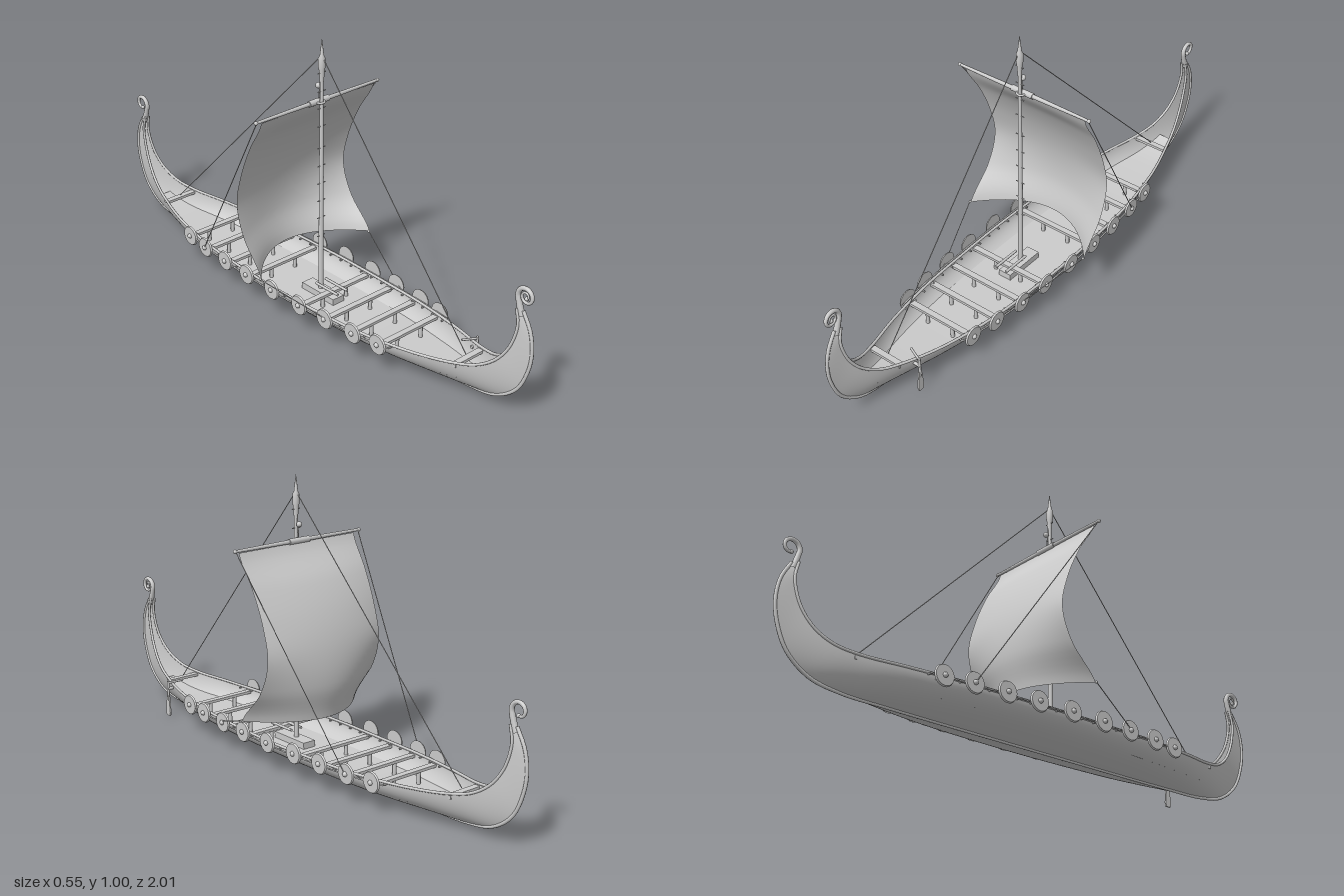
import * as THREE from 'three';

const V = (x, y, z) => new THREE.Vector3(x, y, z);
const lerp = THREE.MathUtils.lerp;
const material = new THREE.MeshStandardMaterial({ color: 0xcccccc });
const thin = new THREE.MeshStandardMaterial({ color: 0xcccccc, side: THREE.DoubleSide });

// Half-hull stations: keel z, keel y, gunwale z, gunwale y, half width
const STATIONS = [
  [0, .02, 0, .105, .158], [.2, .02, .2, .106, .153], [.4, .02, .4, .11, .14],
  [.6, .021, .6, .118, .107], [.76, .024, .74, .13, .068], [.87, .045, .82, .15, .045],
  [.95, .105, .88, .19, .028], [.99, .19, .92, .245, .017], [1, .26, .94, .3, .012],
  [.988, .33, .946, .345, .01], [.955, .39, .935, .395, .008],
];
const N = STATIONS.length - 1;
const keelPts = [], gunwalePts = [];
for (let i = -N; i <= N; i++) {
  const [kz, ky, gz, gy, w] = STATIONS[Math.abs(i)], s = Math.sign(i);
  keelPts.push(V(0, ky, s * kz));
  gunwalePts.push(V(w, gy, s * gz));
}
const keelCurve = new THREE.CatmullRomCurve3(keelPts);
const gunwaleCurve = new THREE.CatmullRomCurve3(gunwalePts);

// Point on the hull: i = station (-N..N), u = 0 at keel, 1 at gunwale
function hullPoint(i, u, side) {
  const t = (i + N) / (2 * N), k = keelCurve.getPoint(t), g = gunwaleCurve.getPoint(t);
  const round = 1 - THREE.MathUtils.smoothstep(Math.abs(i), 2, 7), a = u * Math.PI / 2;
  const h = lerp(u, 1 - Math.cos(a), round);
  return V(side * g.x * lerp(u, Math.sin(a), round), lerp(k.y, g.y, h), lerp(k.z, g.z, h));
}

// Gunwale point at a given z
function gunwaleAt(z) {
  let lo = 0.06, hi = 0.94;
  for (let n = 0; n < 30; n++) {
    const mid = (lo + hi) / 2;
    if (gunwaleCurve.getPoint(mid).z < z) lo = mid; else hi = mid;
  }
  return gunwaleCurve.getPoint(lo);
}

// Grid surface from f(a, b), a and b in 0..1
function surface(f, na, nb) {
  const geo = new THREE.PlaneGeometry(1, 1, na, nb), pos = geo.attributes.position, uv = geo.attributes.uv;
  for (let n = 0; n < pos.count; n++) {
    const p = f(uv.getX(n), uv.getY(n));
    pos.setXYZ(n, p.x, p.y, p.z);
  }
  geo.computeVertexNormals();
  return geo;
}

function add(parent, name, geo, x = 0, y = 0, z = 0, mat = material) {
  const mesh = new THREE.Mesh(geo, mat);
  mesh.name = name;
  mesh.position.set(x, y, z);
  parent.add(mesh);
  return mesh;
}

// Straight round bar between two points
function bar(parent, name, a, b, r0, r1 = r0, sides = 8) {
  const d = b.clone().sub(a), m = a.clone().add(b).multiplyScalar(.5);
  const mesh = add(parent, name, new THREE.CylinderGeometry(r1, r0, d.length(), sides), m.x, m.y, m.z);
  mesh.quaternion.setFromUnitVectors(V(0, 1, 0), d.normalize());
  return mesh;
}

// Tube whose radius runs from r0 to r1
function taperedTube(curve, segs, r0, r1, sides = 8) {
  const geo = new THREE.TubeGeometry(curve, segs, 1, sides), pos = geo.attributes.position;
  for (let n = 0; n < pos.count; n++) {
    const t = Math.floor(n / (sides + 1)) / segs, c = curve.getPointAt(t);
    const p = V().fromBufferAttribute(pos, n).sub(c).multiplyScalar(lerp(r0, r1, t)).add(c);
    pos.setXYZ(n, p.x, p.y, p.z);
  }
  return geo;
}

function buildHull(ship) {
  for (const side of [1, -1]) {
    add(ship, 'hullSide', surface((a, b) => hullPoint(lerp(-N, N, a), b, side), 100, 14), 0, 0, 0, thin);
    const rim = gunwalePts.map(p => V(p.x * side, p.y, p.z));
    add(ship, 'gunwale', new THREE.TubeGeometry(new THREE.CatmullRomCurve3(rim), 120, .005, 8));
  }
  add(ship, 'keel', new THREE.TubeGeometry(keelCurve, 120, .006, 8));
  add(ship, 'floor', surface((a, b) => {
    const i = lerp(-5, 5, a), p = hullPoint(i, .55, 1);
    return p.setX(p.x * (1 - 2 * b));
  }, 40, 4), 0, 0, 0, thin);

  // Curled ends: full scroll at the bow, open hook at the stern
  for (const [s, turns, rEnd, tip] of [[1, 1.75, .006, .003], [-1, .85, .016, .005]]) {
    const pts = [V(0, .37, s * .952), V(0, .393, s * .943)];
    for (let n = 0; n <= 28; n++) {
      const t = n / 28, a = THREE.MathUtils.degToRad(205) - t * turns * Math.PI * 2, r = lerp(.032, rEnd, t);
      pts.push(V(0, .44 + r * Math.sin(a), s * (.962 + r * Math.cos(a))));
    }
    add(ship, s > 0 ? 'bowScroll' : 'sternHook', taperedTube(new THREE.CatmullRomCurve3(pts), 70, .011, tip));
    const end = pts[pts.length - 1];
    add(ship, 'scrollTip', new THREE.SphereGeometry(.007, 12, 8), end.x, end.y, end.z);
  }
}

function buildFittings(ship) {
  // Rowing benches with posts
  for (const z of [-.745, -.495, -.38, -.26, -.14, .13, .25, .37, .49, .745]) {
    const g = gunwaleAt(z), y = g.y - .012, end = Math.abs(z) > .7;
    add(ship, 'bench', new THREE.BoxGeometry(g.x * 1.94, .01, .022), 0, y, z);
    if (!end) for (const x of [-.055, .055])
      bar(ship, 'benchPost', V(x, .045, z), V(x, y, z), .007);
  }
  add(ship, 'mastStep', new THREE.BoxGeometry(.05, .025, .16), 0, .06, .07);
  for (const x of [-.022, .022]) bar(ship, 'mastBrace', V(x, .1, .06), V(x, .1, .17), .005);

  for (const side of [1, -1]) {
    // Shield rail on short pegs
    const rail = [];
    for (let n = 0; n <= 20; n++) {
      const z = lerp(-.53, .53, n / 20), g = gunwaleAt(z);
      rail.push(V(side * (g.x + .014), g.y - .006, z));
      bar(ship, 'railPeg', V(side * (g.x - .012), g.y - .006, z), V(side * (g.x + .016), g.y - .006, z), .003, .003, 6);
    }
    add(ship, 'shieldRail', new THREE.TubeGeometry(new THREE.CatmullRomCurve3(rail), 40, .003, 6));
    // Round shields
    for (const z of [.49, .387, .262, .14, .002, -.135, -.26, -.383, -.488]) {
      const shield = new THREE.Group(), g = gunwaleAt(z);
      shield.name = 'shield';
      add(shield, 'shieldBoard', new THREE.CylinderGeometry(.034, .037, .006, 28));
      add(shield, 'shieldBoss', new THREE.SphereGeometry(.009, 14, 6, 0, Math.PI * 2, 0, Math.PI / 2), 0, .003, 0);
      shield.position.set(side * (g.x + .019), .108, z);
      shield.rotation.z = -side * Math.PI / 2;
      ship.add(shield);
    }
  }

  // Steering oar on the left side of the bow end
  bar(ship, 'oarShaft', V(.098, .06, .7), V(.098, .135, .7), .005);
  const blade = new THREE.Shape([[-.006, .08], [-.013, .015], [-.01, 0], [.01, 0], [.013, .015], [.006, .08]]
    .map(p => new THREE.Vector2(...p)));
  add(ship, 'oarBlade', new THREE.ExtrudeGeometry(blade, { depth: .006, bevelEnabled: false }), .095, 0, .7)
    .rotation.y = Math.PI / 2;
  bar(ship, 'tiller', V(.1, .128, .7), V(.045, .135, .68), .004);
  bar(ship, 'oarMount', V(.07, .105, .7), V(.1, .105, .7), .006);
}

function buildRig(ship) {
  const mz = .06, yz = .045;
  // Mast with masthead block and spike
  const profile = [[0, .04], [.009, .04], [.008, .5], [.006, .84], [.01, .89], [.012, .9], [.012, .93],
    [.007, .94], [.005, .96], [0, 1]].map(p => new THREE.Vector2(...p));
  add(ship, 'mast', new THREE.LatheGeometry(profile, 16), 0, 0, mz);
  for (const y of [.28, .35, .415, .48, .545, .612, .69, .755, .815, .88])
    bar(ship, 'mastRung', V(-.017, y, mz), V(.017, y, mz), .002, .002, 6);

  // Yard, thicker at the centre
  for (const s of [1, -1]) {
    bar(ship, 'yardArm', V(0, .775, yz), V(s * .27, .775, yz), .008, .005);
    add(ship, 'yardEnd', new THREE.SphereGeometry(.007, 10, 8), s * .268, .775, yz);
  }
  bar(ship, 'yardSleeve', V(-.043, .775, yz), V(.043, .775, yz), .0105, .0105, 12);
  add(ship, 'yardParrel', new THREE.TorusGeometry(.014, .004, 8, 20), 0, .775, mz - .006).rotation.x = Math.PI / 2;
  add(ship, 'halyardBlock', new THREE.SphereGeometry(.01, 12, 8), 0, .83, yz - .002);
  bar(ship, 'halyard', V(0, .92, mz), V(0, .775, yz), .002, .002, 6);

  // Billowing sail: z profiles down the edges and down the centre
  const profileCurve = zs => new THREE.SplineCurve(zs.map((z, n) => new THREE.Vector2(n, z)));
  const edge = profileCurve([.045, -.022, -.072, -.096, -.058, .035]);
  const centre = profileCurve([.045, -.04, -.1, -.134, -.14, -.115]);
  add(ship, 'sail', surface((a, b) => {
    const v = 1 - b, s = a * 2 - 1;
    const x = .004 + s * (.249 - .006 * Math.sin(v * Math.PI * 1.2));
    return V(x, lerp(.768, .193, v), lerp(centre.getPoint(v).y, edge.getPoint(v).y, s * s));
  }, 28, 32), 0, 0, 0, thin);

  // Ropes: stays, braces and sheets
  const rope = (name, a, b) => bar(ship, name, a, b, .0016, .0016, 6);
  for (const s of [1, -1]) {
    rope('stay', V(0, .94, mz), V(0, .13, s * .74));
    rope('brace', V(s * .265, .773, yz), V(s * .165, .105, -.385));
    rope('sheet', V(s * .253, .193, .035), V(s * .163, .105, .285));
    add(ship, 'sheetKnot', new THREE.SphereGeometry(.005, 8, 6), s * .252, .193, .035);
  }
}

export function createModel() {
  const ship = new THREE.Group();
  ship.name = 'longship';
  buildHull(ship);
  buildFittings(ship);
  buildRig(ship);
  return ship;
}
